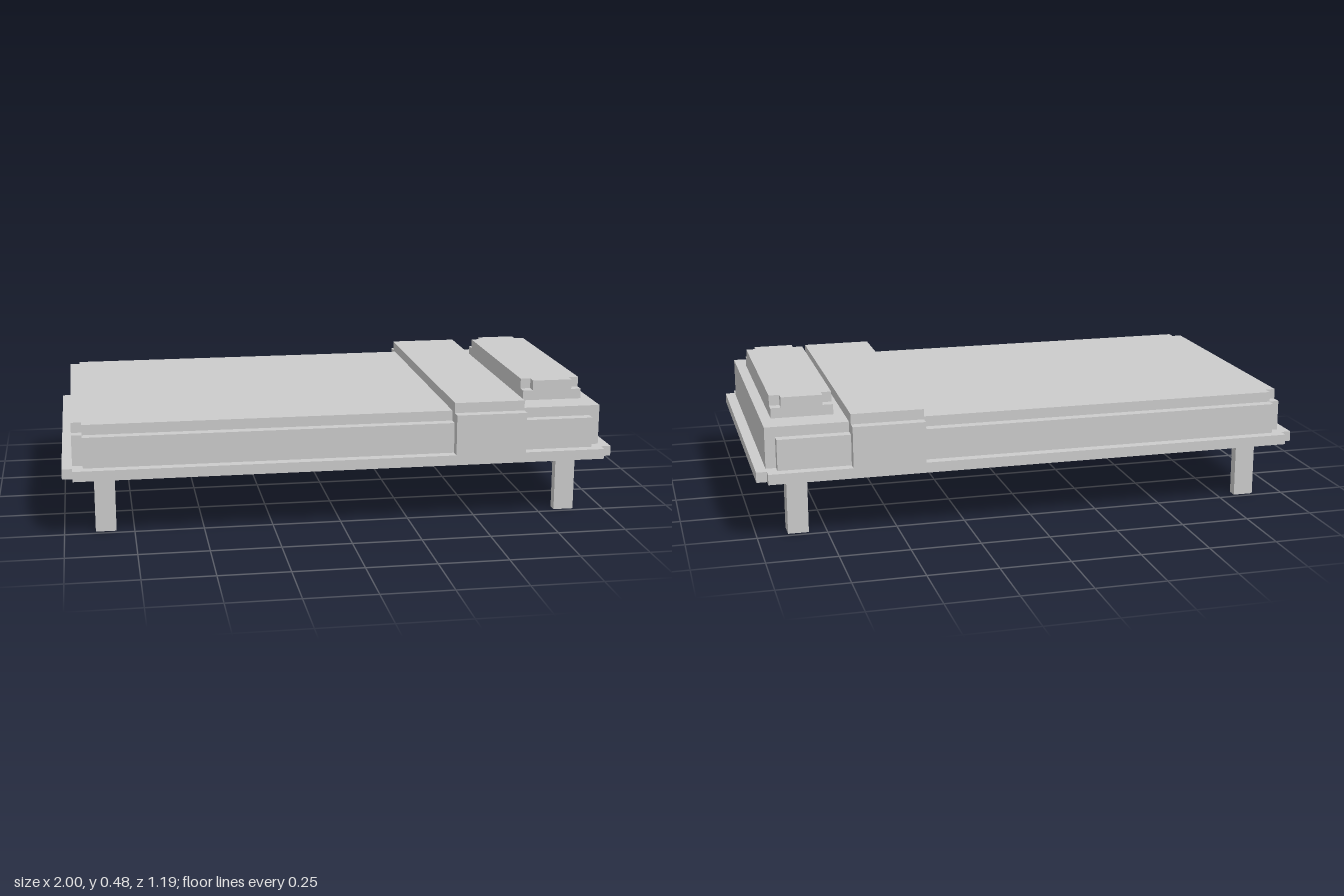
import * as THREE from 'three';

const U = 1 / 27; // block size the whole bed is laid out on

const material = new THREE.MeshStandardMaterial({ color: 0xcccccc, flatShading: true });

// Extrude a plan outline of [x, z] block coordinates upward from y0 to y1
function prism(name, outline, y0, y1) {
  const shape = new THREE.Shape(outline.map(([x, z]) => new THREE.Vector2(x * U, -z * U)));
  const geometry = new THREE.ExtrudeGeometry(shape, { depth: (y1 - y0) * U, bevelEnabled: false });
  geometry.rotateX(-Math.PI / 2);
  const mesh = new THREE.Mesh(geometry, material);
  mesh.name = name;
  mesh.position.y = y0 * U;
  return mesh;
}

// Rectangle with one-block square notches cut from the corners of each end
function notched(x0, x1, z, notchFoot = true, notchHead = true) {
  const foot = notchFoot
    ? [[x0 + 1, z], [x0 + 1, z - 1], [x0, z - 1], [x0, 1 - z], [x0 + 1, 1 - z], [x0 + 1, -z]]
    : [[x0, z], [x0, -z]];
  const head = notchHead
    ? [[x1 - 1, -z], [x1 - 1, 1 - z], [x1, 1 - z], [x1, z - 1], [x1 - 1, z - 1], [x1 - 1, z]]
    : [[x1, -z], [x1, z]];
  return [...foot, ...head];
}

export function createModel() {
  const bed = new THREE.Group();
  bed.name = 'bed';

  // Frame
  bed.add(prism('frame', notched(-27, 27, 16), 6, 7));

  // Mattress: wide lower tier and a narrower top tier
  const mattress = new THREE.Group();
  mattress.name = 'mattress';
  mattress.add(
    prism('mattressLower', notched(-26, 26, 15), 7, 10),
    prism('mattressTop', notched(-26, 26, 14, true, false), 10, 11)
  );
  bed.add(mattress);

  // Folded blanket band draped over both sides
  const fold = new THREE.Group();
  fold.name = 'blanketFold';
  const rect = (x0, x1, z) => notched(x0, x1, z, false, false);
  fold.add(
    prism('foldSides', rect(11, 18, 16), 7, 11),
    prism('foldTop', rect(11, 18, 15), 11, 12)
  );
  bed.add(fold);

  // Pillow with notched upper corners
  const pillow = new THREE.Group();
  pillow.name = 'pillow';
  pillow.add(
    prism('pillowLower', rect(19, 25, 11), 11, 12),
    prism('pillowTop', notched(19, 25, 11), 12, 13)
  );
  bed.add(pillow);

  // L-shaped corner legs, open toward the middle of the bed
  const legOutline = [[24, 13], [22, 13], [22, 12], [23, 12], [23, 11], [24, 11]];
  for (const sx of [-1, 1]) {
    for (const sz of [-1, 1]) {
      const name = (sz > 0 ? 'front' : 'back') + (sx > 0 ? 'Left' : 'Right') + 'Leg';
      bed.add(prism(name, legOutline.map(([x, z]) => [x * sx, z * sz]), 0, 6));
    }
  }

  return bed;
}
